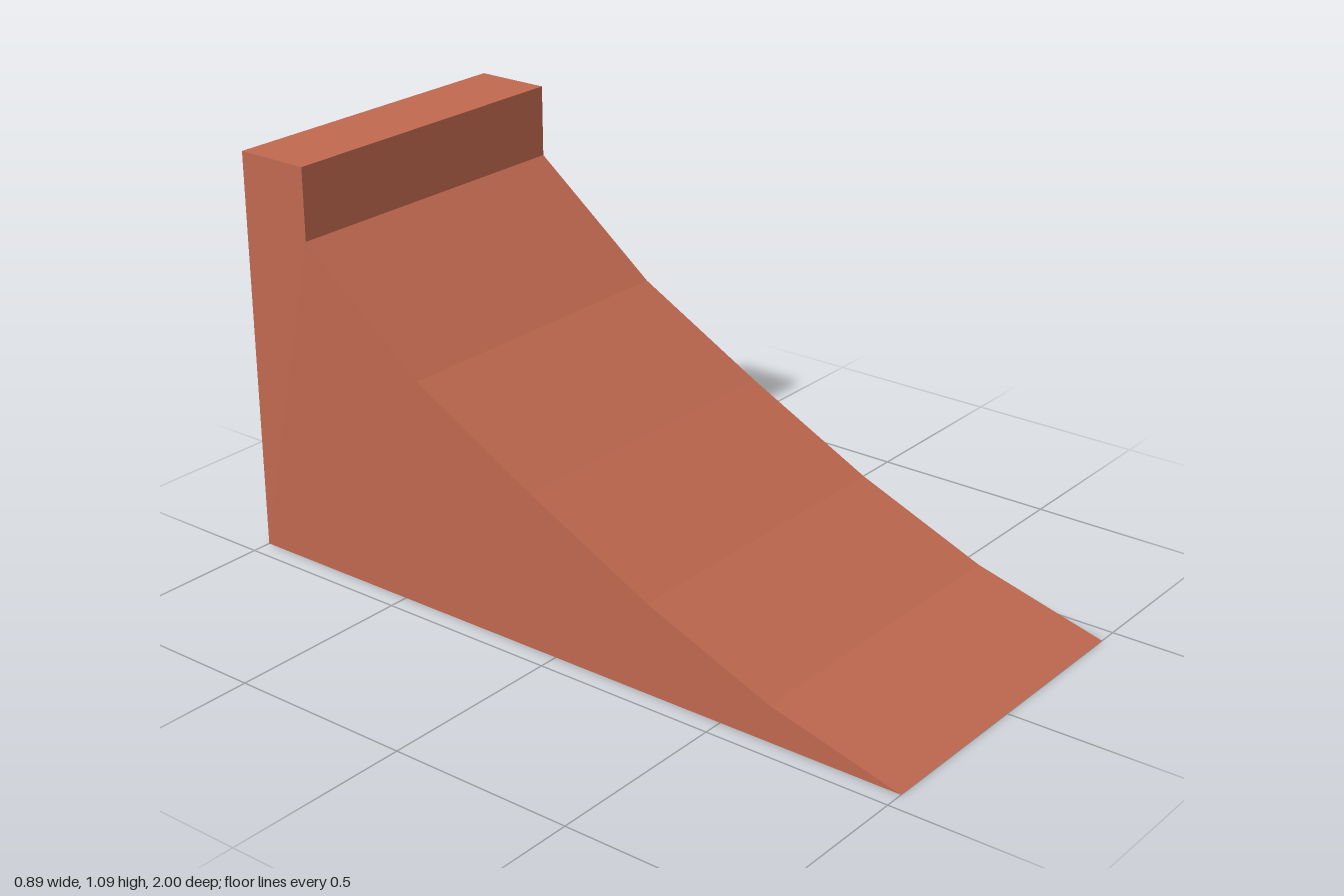
import * as THREE from 'three';

export function createModel() {
  const model = new THREE.Group();
  model.name = 'ramp';
  const brick = new THREE.MeshStandardMaterial({ color: 0xc1694f });
  brick.name = 'brick red';

  // Side profile as [z, y]: faceted curved slope, then the lip at the back
  const width = 0.894;
  const profile = [
    [1, 0], [0.64, 0.096], [0.285, 0.24], [-0.07, 0.418], [-0.43, 0.613],
    [-0.79, 0.894], [-0.79, 1.087], [-1, 1.087], [-1, 0],
  ];
  const shape = new THREE.Shape(profile.map(([z, y]) => new THREE.Vector2(z, y)));
  const geometry = new THREE.ExtrudeGeometry(shape, { depth: width, bevelEnabled: false });
  geometry.translate(0, 0, -width / 2);
  geometry.rotateY(-Math.PI / 2); // profile runs along z, extrusion along x

  const body = new THREE.Mesh(geometry, brick);
  body.name = 'rampBody';
  model.add(body);
  return model;
}
